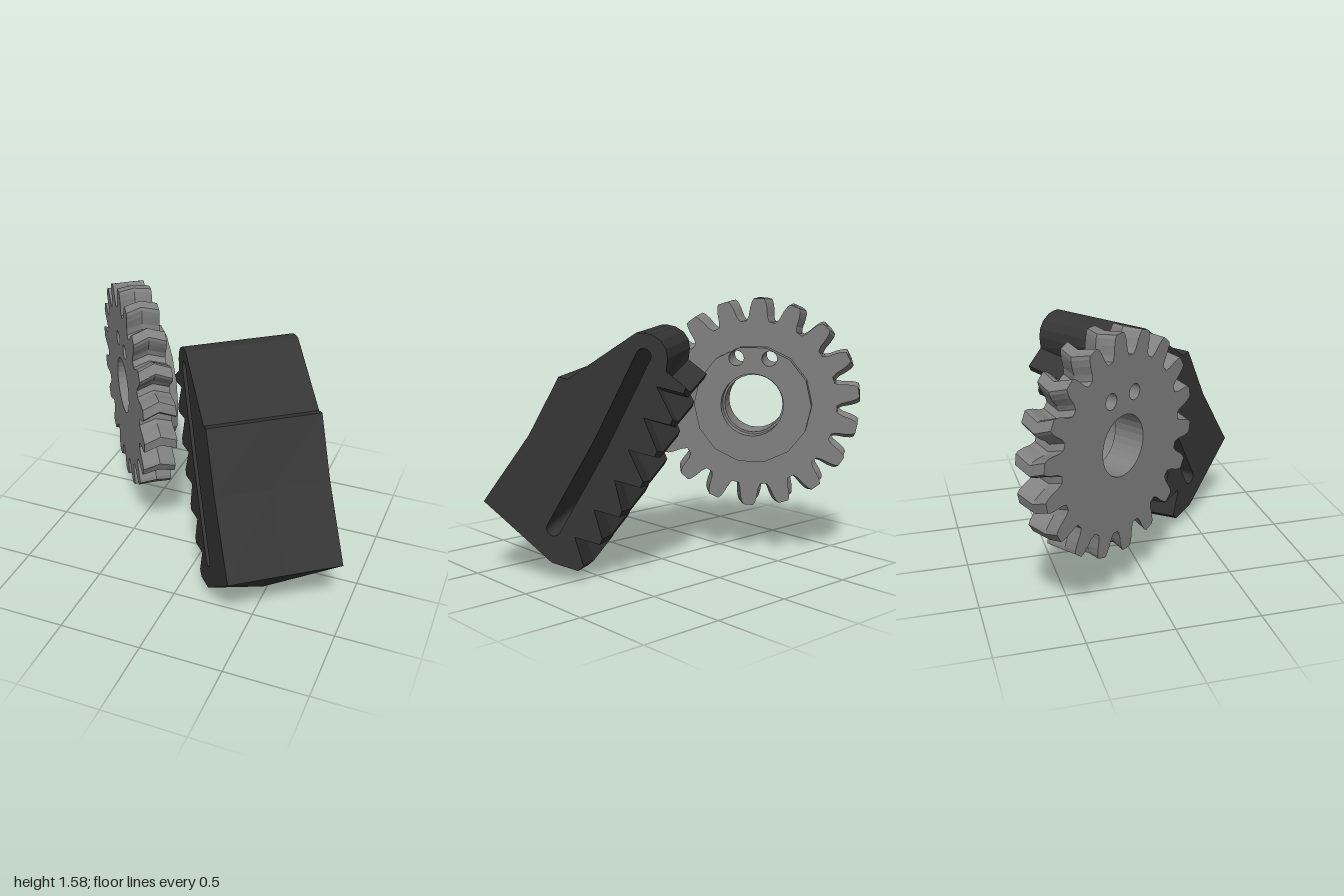
import * as THREE from 'three';

const TILT = -0.932;                 // heading of the shared axis
const GEAR = { x: -0.527, y: 0.953, z: 0.193, depth: 0.195, teeth: 18 };
const SLOT_TOP = [-0.015, 1.30], SLOT_END = [0.51, 0.31], SLOT_R = 0.042;

const toShape = pts => new THREE.Shape(pts.map(p => new THREE.Vector2(p[0], p[1])));

function circlePath(x, y, r) {
  const path = new THREE.Path();
  path.absarc(x, y, r, 0, Math.PI * 2, true);
  return path;
}

// Bore and the two pin holes run through gear and hub
const addBores = (shape, boreRadius) => shape.holes.push(
  circlePath(0, 0, boreRadius), circlePath(-0.1, 0.28, 0.045), circlePath(0.098, 0.28, 0.045));

function extrude(shape, depth, steps) {
  return new THREE.ExtrudeGeometry(shape, { depth, steps, bevelEnabled: false, curveSegments: 14 });
}

// Moves the middle layer of a two-step extrusion, making chevron teeth
function chevron(geo, depth, rule) {
  const pos = geo.attributes.position;
  for (let i = 0; i < pos.count; i++) {
    if (Math.abs(pos.getZ(i) - depth / 2) > 1e-4) continue;
    const [x, y] = rule(pos.getX(i), pos.getY(i));
    pos.setXY(i, x, y);
  }
  geo.computeVertexNormals();
  return geo;
}

function gearGeometry() {
  // radius and half width of one tooth, from root to tip
  const flank = [[0.5, 0.068], [0.53, 0.056], [0.58, 0.05], [0.615, 0.041], [0.632, 0.03]];
  const tooth = [...flank.map(([r, w]) => [r, -w]), ...flank.slice().reverse()];
  const pts = [];
  for (let i = 0; i < GEAR.teeth; i++) {
    const a = Math.PI * (0.512 + 2 * i / GEAR.teeth);
    for (const [r, w] of tooth) {
      const t = a + w / r;
      pts.push([r * Math.cos(t), r * Math.sin(t)]);
    }
  }
  const shape = toShape(pts);
  addBores(shape, 0.175);
  const c = Math.cos(0.06), s = Math.sin(0.06);
  return chevron(extrude(shape, GEAR.depth, 2), GEAR.depth, (x, y) =>
    Math.hypot(x, y) < 0.45 ? [x, y] : [x * c - y * s, x * s + y * c]);
}

// Hub with a slightly wider bore than the wheel
function hubGeometry() {
  const pts = [];
  for (let i = 0; i < 14; i++) {
    const a = i * Math.PI / 7;
    pts.push([0.353 * Math.cos(a), 0.353 * Math.sin(a)]);
  }
  const shape = toShape(pts);
  addBores(shape, 0.188);
  return extrude(shape, 0.074, 1);
}

function rackGeometry() {
  const depth = 0.67;
  // rounded head
  const pts = [[0.025, 1.426], [-0.015, 1.426], [-0.06, 1.416], [-0.11, 1.385], [-0.14, 1.34],
    [-0.148, 1.29], [-0.14, 1.22]];
  // undercut saw teeth down the gently bent edge
  const tips = [[-0.25, 1.135], [-0.177, 0.96], [-0.09, 0.78], [-0.01, 0.605], [0.11, 0.43], [0.225, 0.265]];
  for (const [x, y] of tips) pts.push([x, y], [x + 0.015, y - 0.033], [x + 0.162, y + 0.002]);
  // last tooth, foot and back
  pts.push([0.335, 0.1], [0.37, 0.07], [0.525, 0.11], [0.925, 0.45], [0.645, 0.845], [0.466, 1.177], [0.415, 1.164]);
  const shape = toShape(pts);

  // long, slightly bent slot with round ends
  const dx = SLOT_END[0] - SLOT_TOP[0], dy = SLOT_END[1] - SLOT_TOP[1], len = Math.hypot(dx, dy);
  const down = [dx / len, dy / len], out = Math.atan2(dy, dx);
  const middle = side => [
    (SLOT_TOP[0] + SLOT_END[0]) / 2 - down[1] * side, (SLOT_TOP[1] + SLOT_END[1]) / 2 + down[0] * side];
  const slot = new THREE.Path();
  slot.absarc(SLOT_END[0], SLOT_END[1], SLOT_R, out - Math.PI / 2, out + Math.PI / 2, false);
  slot.lineTo(...middle(SLOT_R - 0.015));
  slot.absarc(SLOT_TOP[0], SLOT_TOP[1], SLOT_R, out + Math.PI / 2, out + Math.PI * 1.5, false);
  slot.lineTo(...middle(-SLOT_R - 0.015));
  shape.holes.push(slot);

  return chevron(extrude(shape, depth, 2), depth, (x, y) => {
    // distance across the slot line tells back, slot and teeth apart
    const across = (y - SLOT_TOP[1]) * down[0] - (x - SLOT_TOP[0]) * down[1];
    if (y > 1.23 || Math.abs(across) < 0.065 && y > 0.2) return [x, y];
    if (across > 0.2) {
      const k = Math.max(0, (1.18 - y) / 0.73);
      return [x - 0.035 * k, y - 0.03 * k];
    }
    const drop = x > 0.45 ? 0.05 : 0.077;
    return [x + down[0] * drop, y + down[1] * drop];
  });
}

export function createModel() {
  const gearGrey = new THREE.MeshStandardMaterial({ color: 0x808080 });
  gearGrey.name = 'gearGrey';
  const rackCharcoal = new THREE.MeshStandardMaterial({ color: 0x353535 });
  rackCharcoal.name = 'rackCharcoal';

  const model = new THREE.Group();
  model.name = 'gearAndRack';
  const assembly = new THREE.Group();
  assembly.name = 'assembly';
  assembly.rotation.y = TILT;
  model.add(assembly);

  const add = (name, geo, mat, x, y, z) => {
    const mesh = new THREE.Mesh(geo, mat);
    mesh.name = name;
    mesh.position.set(x, y, z);
    assembly.add(mesh);
  };
  add('gearWheel', gearGeometry(), gearGrey, GEAR.x, GEAR.y, GEAR.z);
  add('gearHub', hubGeometry(), gearGrey, GEAR.x, GEAR.y, GEAR.z - 0.074);
  add('toothedRack', rackGeometry(), rackCharcoal, 0, 0, -0.552);
  return model;
}
